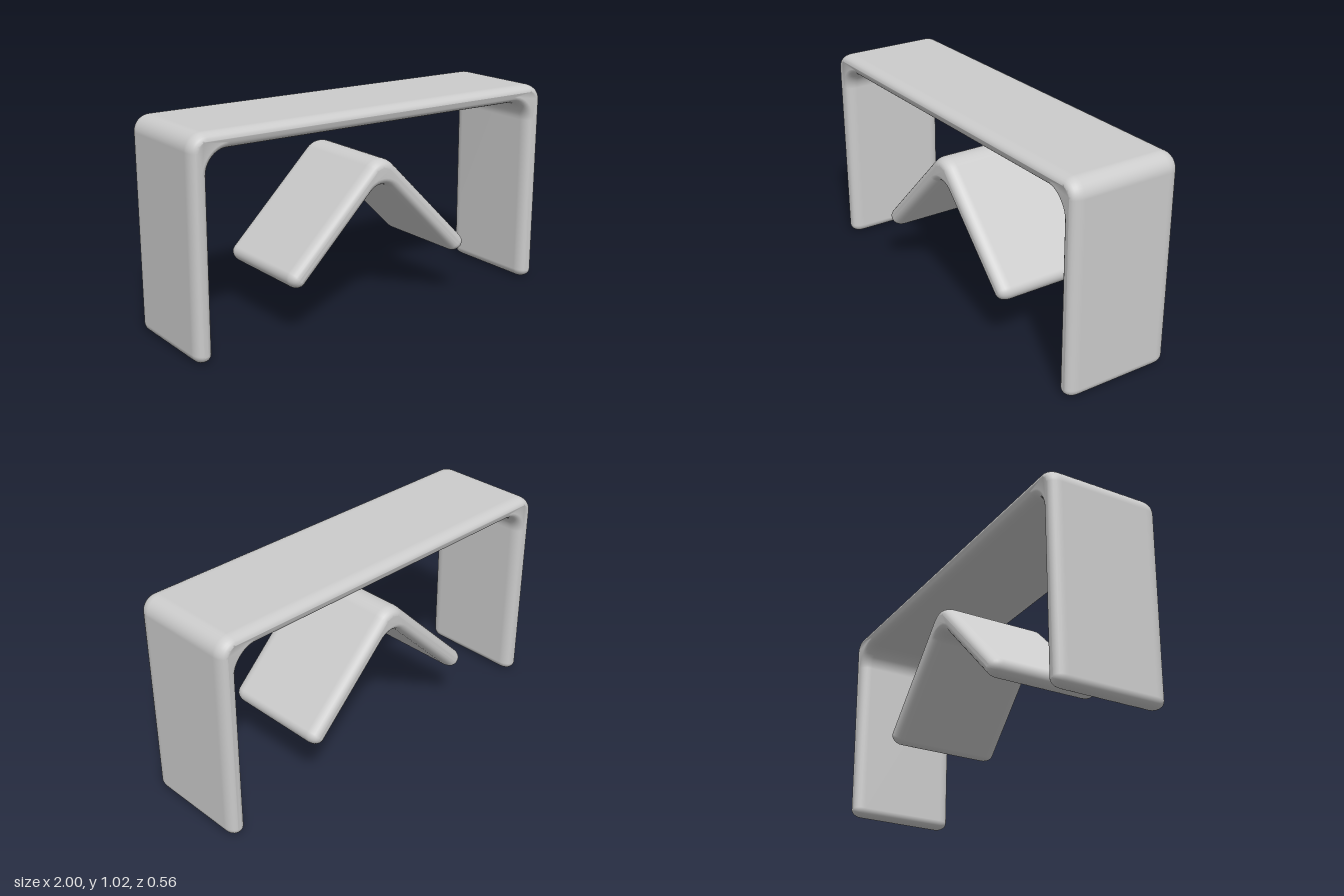
import * as THREE from 'three';
import { mergeVertices } from 'three/addons/utils/BufferGeometryUtils.js';

// Closed outline through right-angled corners [x, y, radius], each rounded to an arc
function roundedOutline(corners) {
  const shape = new THREE.Shape();
  const n = corners.length;
  const at = (i) => new THREE.Vector2(corners[(i + n) % n][0], corners[(i + n) % n][1]);
  const k = 1 - 0.5523;
  for (let i = 0; i < n; i++) {
    const p = at(i), r = corners[i][2];
    const toPrev = at(i - 1).sub(p).normalize();
    const toNext = at(i + 1).sub(p).normalize();
    const along = (dir, d) => p.clone().addScaledVector(dir, d);
    const a = along(toPrev, r), b = along(toPrev, r * k);
    const c = along(toNext, r * k), d = along(toNext, r);
    if (i === 0) shape.moveTo(a.x, a.y);
    else shape.lineTo(a.x, a.y);
    shape.bezierCurveTo(b.x, b.y, c.x, c.y, d.x, d.y);
  }
  shape.closePath();
  return shape;
}

// Half profile on +x, mirrored to a full closed outline
function mirrored(half) {
  return half.concat(half.filter((c) => c[0] > 0).reverse().map(([x, y, r]) => [-x, y, r]));
}

// Bent board: outline extruded along z with soft rounded edges and smooth normals
function bentBoard(corners, halfDepth, bevel, bevelDepth, flare) {
  const geo = new THREE.ExtrudeGeometry(roundedOutline(corners), {
    depth: 2 * (halfDepth - bevelDepth),
    bevelEnabled: true, bevelSize: bevel, bevelOffset: -bevel,
    bevelThickness: bevelDepth, bevelSegments: 6, curveSegments: 10,
  });
  geo.translate(0, 0, -(halfDepth - bevelDepth));
  geo.deleteAttribute('uv');
  geo.deleteAttribute('normal');
  const smooth = mergeVertices(geo, 1e-5);
  const pos = smooth.attributes.position;
  if (flare) {
    // Slight widening at the bends
    for (let i = 0; i < pos.count; i++) {
      const d = Math.hypot(Math.abs(pos.getX(i)) - 0.95, pos.getY(i) - 0.97);
      pos.setZ(i, pos.getZ(i) * (1 + flare * Math.exp(-((d / 0.12) ** 2))));
    }
  }
  smooth.computeVertexNormals();
  return smooth;
}

export function createModel() {
  const group = new THREE.Group();
  const grey = new THREE.MeshStandardMaterial({ color: 0xcccccc });
  grey.name = 'light grey';

  // Table: top and two legs in one bent board
  const tableHalf = [
    [0.913, 0.945, 0.1],
    [0.913, 0.003, 0.041],
    [1, 0.003, 0.041],
    [1, 1.028, 0.08],
  ];
  const table = new THREE.Mesh(bentBoard(mirrored(tableHalf), 0.271, 0.034, 0.055, 0.03), grey);
  table.name = 'tableFrame';
  group.add(table);

  // Bent V-shaped shelf below the top
  const shelfCorners = [
    [0, 0.69, 0.085],
    [0.465, 0.225, 0.044],
    [0.53, 0.29, 0.044],
    [0, 0.82, 0.097],
    [-0.53, 0.29, 0.044],
    [-0.465, 0.225, 0.044],
  ];
  const shelf = new THREE.Mesh(bentBoard(shelfCorners, 0.281, 0.037, 0.055, 0), grey);
  shelf.name = 'chevronShelf';
  group.add(shelf);

  return group;
}
